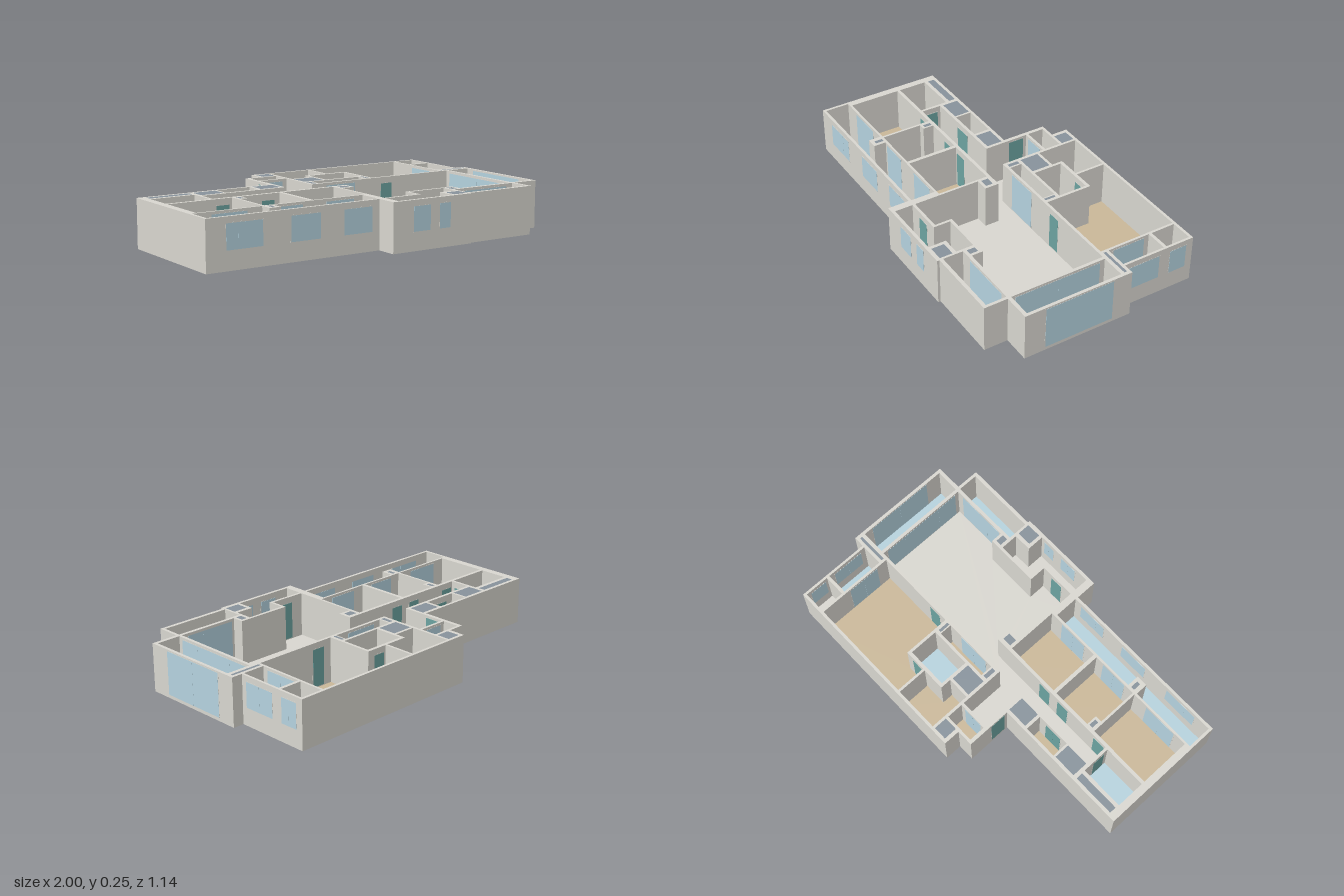
import * as THREE from 'three';

const mat = (name, color) => {
  const m = new THREE.MeshStandardMaterial({ color });
  m.name = name;
  return m;
};
const M = {
  wall: mat('warm grey plaster', 0xd8d6cf),
  wood: mat('tan wood floor', 0xc9b798),
  tile: mat('pale blue tile', 0xb5d1dc),
  glass: mat('window glass', 0xb4d2de),
  slate: mat('slate shaft cap', 0x87929b),
  door: mat('teal door', 0x6ca3a0),
};
const SLAB = 0.015, TOP = 0.255;

// Rectangle as a corner list in plan (x, z)
const rect = (x0, x1, z0, z1) => [[x0, z0], [x1, z0], [x1, z1], [x0, z1]];
const toShape = (pts, Type = THREE.Shape) =>
  new Type(pts.map(([x, z]) => new THREE.Vector2(x, -z)));

// Extrude a plan shape upward from y0 to y1
function slab(name, shape, y0, y1, material) {
  const g = new THREE.ExtrudeGeometry(shape, { depth: y1 - y0, bevelEnabled: false });
  g.rotateX(-Math.PI / 2).translate(0, y0, 0);
  const m = new THREE.Mesh(g, material);
  m.name = name;
  return m;
}

// Outer walls, counter-clockwise from above so the room holes face inward
const outline = [
  [-0.15, -0.57], [-0.15, -0.48], [-0.24, -0.48], [-0.24, -0.235], [-1, -0.235], [-1, 0.455],
  [-0.035, 0.455], [-0.035, 0.57], [0.45, 0.57], [0.45, 0.557], [0.853, 0.557], [0.853, 0.43],
  [0.999, 0.43], [0.999, -0.165], [0.94, -0.165], [0.94, -0.57],
];

// Rooms: name, floor material, plan
const rooms = [
  ['livingRoom', 'wall', [
    [-0.705, -0.113], [-0.22, -0.113], [-0.22, -0.36], [-0.057, -0.36], [-0.057, -0.113],
    [0.833, -0.113], [0.833, 0.41], [0.5, 0.41], [0.5, 0.347], [0.203, 0.347], [0.203, 0.44],
    [0.005, 0.44], [0.005, 0.075], [0.077, 0.075], [0.077, -0.003], [-0.705, -0.003]]],
  ['kitchen', 'wall', [
    [0.005, 0.455], [0.217, 0.455], [0.217, 0.362], [0.435, 0.362], [0.435, 0.457],
    [0.337, 0.457], [0.337, 0.553], [0.005, 0.553]]],
  ['frontBalcony', 'tile', [
    [-0.985, 0.308], [-0.612, 0.308], [-0.612, 0.375], [-0.55, 0.375], [-0.55, 0.308],
    [-0.033, 0.308], [-0.033, 0.44], [-0.985, 0.44]]],
  ['westBedroom', 'wood', rect(-0.96, -0.607, 0.015, 0.296)],
  ['middleBedroom', 'wood', [
    [-0.557, 0.015], [-0.335, 0.015], [-0.335, 0.296], [-0.595, 0.296], [-0.595, 0.075], [-0.557, 0.075]]],
  ['eastBedroom', 'wood', rect(-0.315, -0.008, 0.015, 0.296)],
  ['westBathroom', 'tile', rect(-0.96, -0.72, -0.16, -0.003)],
  ['corridorCloset', 'wood', rect(-0.56, -0.37, -0.22, -0.13)],
  ['entryStore', 'wood', rect(-0.22, -0.057, -0.465, -0.375)],
  ['backStudy', 'wood', [
    [-0.042, -0.555], [0.205, -0.555], [0.205, -0.388], [0.08, -0.388], [0.08, -0.328], [-0.042, -0.328]]],
  ['masterBedroom', 'wood', [
    [0.218, -0.555], [0.795, -0.555], [0.795, -0.128], [0.337, -0.128], [0.337, -0.388], [0.218, -0.388]]],
  ['innerBathroom', 'tile', rect(0.095, 0.322, -0.37, -0.21)],
  ['hallCloset', 'wood', rect(-0.008, 0.297, -0.195, -0.128)],
  ['utilityRoom', 'wall', rect(0.808, 0.927, -0.555, -0.42)],
  ['masterBalcony', 'tile', rect(0.808, 0.927, -0.403, -0.165)],
  ['sideBalcony', 'tile', rect(0.85, 0.982, -0.113, 0.41)],
  ['cornerBalcony', 'tile', rect(0.45, 0.837, 0.428, 0.538)],
];

// Shafts closed by a cap: x0, x1, z0, z1
const shafts = [
  [-0.957, -0.722, -0.217, -0.18], [-0.7, -0.572, -0.217, -0.13], [-0.353, -0.237, -0.217, -0.13],
  [-0.13, -0.056, -0.553, -0.48], [-0.04, 0.077, -0.313, -0.21], [-0.04, -0.018, -0.19, -0.13],
  [0.304, 0.319, -0.19, -0.13], [0.81, 0.98, -0.148, -0.133], [-0.588, -0.567, 0.02, 0.06],
  [-0.588, -0.567, 0.312, 0.355], [0.01, 0.06, 0.02, 0.06], [0.453, 0.485, 0.365, 0.41],
  [0.355, 0.437, 0.478, 0.548],
];

// Openings: name, axis the wall runs along, wall faces p0..p1, span a0..a1, height y0..y1, leaves
const LOW = 0.018, HIGH = 0.245;
const windows = [
  ['frontWindow', 'x', 0.44, 0.455, -0.897, -0.693, 0.093, 0.227, 3],
  ['frontWindow', 'x', 0.44, 0.455, -0.547, -0.373, 0.093, 0.227, 2],
  ['frontWindow', 'x', 0.44, 0.455, -0.247, -0.073, 0.093, 0.227, 3],
  ['kitchenWindow', 'x', 0.553, 0.57, 0.085, 0.195, 0.093, 0.227, 2],
  ['kitchenWindow', 'x', 0.553, 0.57, 0.245, 0.32, 0.093, 0.227, 2],
  ['sideGlazing', 'z', 0.982, 0.999, -0.065, 0.32, 0.014, 0.25, 2],
  ['balconyWindow', 'z', 0.927, 0.94, -0.375, -0.19, 0.09, 0.228, 2],
  ['utilityWindow', 'z', 0.927, 0.94, -0.535, -0.43, 0.09, 0.228, 2],
  ['slidingDoor', 'x', 0.296, 0.308, -0.89, -0.69, LOW, HIGH, 2],
  ['slidingDoor', 'x', 0.296, 0.308, -0.54, -0.38, LOW, HIGH, 2],
  ['slidingDoor', 'x', 0.296, 0.308, -0.25, -0.08, LOW, HIGH, 2],
  ['livingSlidingDoor', 'z', 0.833, 0.85, -0.09, 0.39, LOW, HIGH, 4],
  ['cornerSlidingDoor', 'x', 0.41, 0.428, 0.51, 0.8, LOW, HIGH, 3],
  ['masterSlidingDoor', 'z', 0.795, 0.808, -0.38, -0.19, LOW, HIGH, 2],
  ['closetDoor', 'x', -0.128, -0.113, 0.03, 0.22, LOW, HIGH, 2],
  ['storeDoor', 'x', -0.375, -0.36, -0.2, -0.08, LOW, HIGH, 2],
];
const doors = [
  ['entranceDoor', 'z', -0.24, -0.22, -0.345, -0.25, LOW, HIGH, 1],
  ['eastBedroomDoor', 'x', -0.003, 0.015, -0.31, -0.23, LOW, 0.225, 1],
  ['middleBedroomDoor', 'x', -0.003, 0.015, -0.44, -0.36, LOW, 0.225, 1],
  ['westBedroomDoor', 'x', -0.003, 0.015, -0.7, -0.62, LOW, 0.225, 1],
  ['westBathroomDoor', 'z', -0.72, -0.705, -0.1, -0.02, LOW, 0.225, 1],
  ['corridorClosetDoor', 'x', -0.13, -0.113, -0.52, -0.41, LOW, 0.225, 2],
  ['masterDoor', 'x', -0.128, -0.113, 0.38, 0.46, LOW, 0.225, 1],
  ['innerBathroomDoor', 'x', -0.388, -0.37, 0.225, 0.3, LOW, 0.225, 1],
  ['kitchenDoor', 'x', 0.44, 0.455, 0.07, 0.15, LOW, 0.225, 1],
];

// Frame with thin leaves showing on both faces of the wall
function opening([name, axis, p0, p1, a0, a1, y0, y1, leaves], material) {
  const group = new THREE.Group();
  group.name = name;
  const plate = (label, s0, s1, b, t, depth, m) => {
    const w = s1 - s0, c = (s0 + s1) / 2, p = (p0 + p1) / 2, d = p1 - p0 + depth;
    const along = axis === 'x';
    const mesh = new THREE.Mesh(new THREE.BoxGeometry(along ? w : d, t - b, along ? d : w), m);
    mesh.position.set(along ? c : p, (b + t) / 2, along ? p : c);
    mesh.name = label;
    group.add(mesh);
  };
  plate('frame', a0, a1, y0, y1, 0.001, M.wall);
  const rim = 0.004, step = (a1 - a0 - 2 * rim) / leaves;
  for (let i = 0; i < leaves; i++) {
    const s = a0 + rim + i * step;
    plate('leaf', s, s + step, y0 + rim, y1 - rim, i % 2 ? 0.003 : 0.002, material);
  }
  return group;
}

export function createModel() {
  const model = new THREE.Group();
  model.name = 'apartment';

  // Base slab and walls, with rooms and shafts left open
  model.add(slab('baseSlab', toShape(outline), 0, SLAB, M.wall));
  const plan = toShape(outline);
  const voids = [...rooms.map((r) => r[2]), ...shafts.map((s) => rect(...s))];
  plan.holes = voids.map((pts) => toShape(pts, THREE.Path));
  model.add(slab('walls', plan, SLAB, TOP, M.wall));

  // Room floors
  for (const [name, floor, pts] of rooms) {
    model.add(slab(name + 'Floor', toShape(pts), SLAB, SLAB + 0.002, M[floor]));
  }

  // Shaft caps, flush with the wall tops
  for (const s of shafts) model.add(slab('shaftCap', toShape(rect(...s)), TOP - 0.006, TOP, M.slate));

  // Windows and doors
  for (const w of windows) model.add(opening(w, M.glass));
  for (const d of doors) model.add(opening(d, M.door));
  return model;
}
